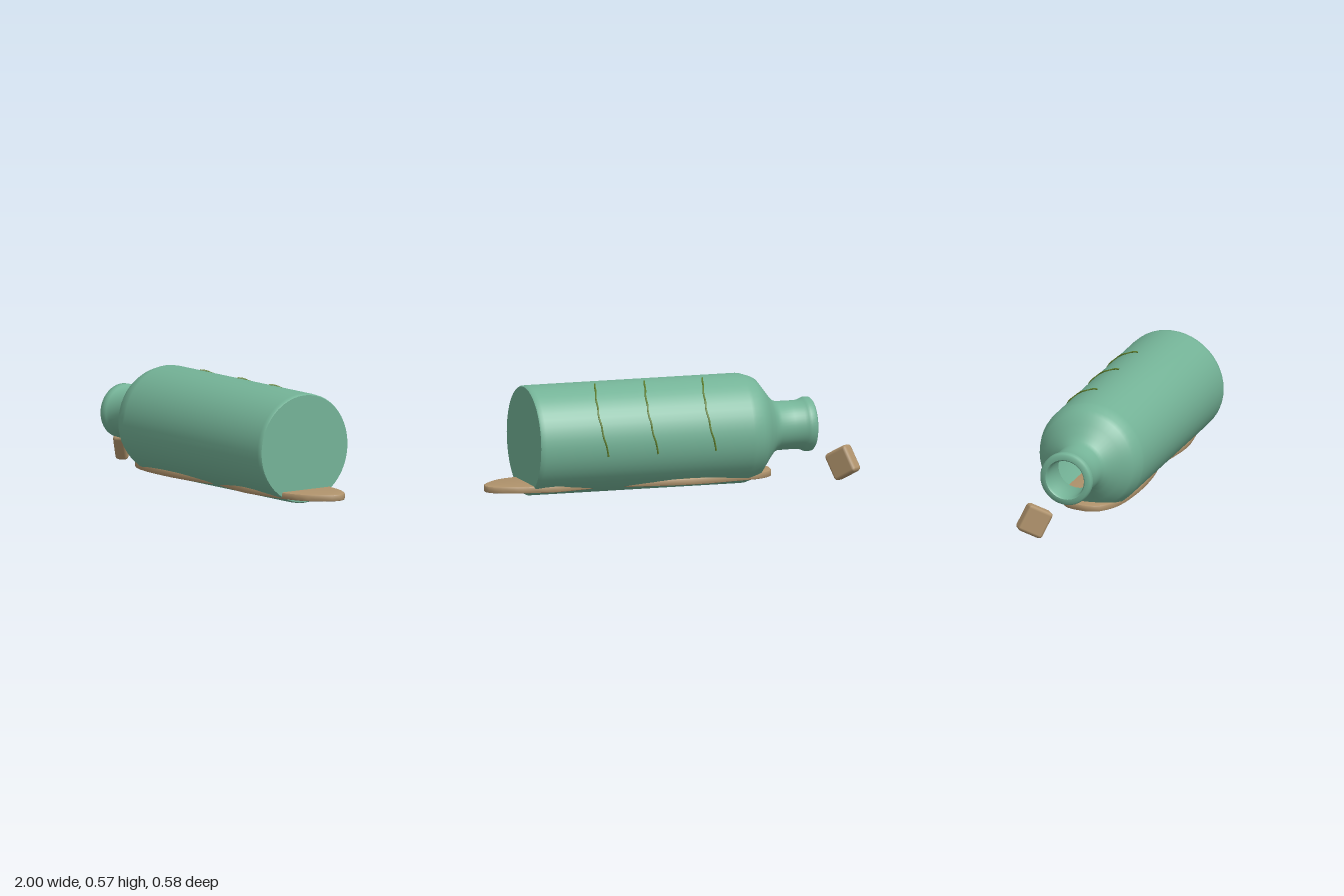
import * as THREE from 'three';
import { toCreasedNormals } from 'three/addons/utils/BufferGeometryUtils.js';
import { RoundedBoxGeometry } from 'three/addons/geometries/RoundedBoxGeometry.js';

const glass = new THREE.MeshStandardMaterial({ name: 'green glass', color: 0x74b397 });
const sand = new THREE.MeshStandardMaterial({ name: 'sand tan', color: 0xb0936c });
const weed = new THREE.MeshStandardMaterial({ name: 'weed green', color: 0x5f7f2c });

const AXIS_Y = 0.288;
const RADIUS = 0.285;

function part(name, geometry, material) {
  const mesh = new THREE.Mesh(geometry, material);
  mesh.name = name;
  return mesh;
}

// Hollow bottle lying along x, mouth towards -x; profile is [radius, x]
function bottle() {
  const profile = [
    [0, 0.75], [0.268, 0.75], [0.268, -0.4], [0.24, -0.47], [0.15, -0.56],
    [0.105, -0.61], [0.1, -0.78], [0.108, -0.79],
    [0.132, -0.79], [0.14, -0.782], [0.141, -0.755], [0.136, -0.742], [0.128, -0.725],
    [0.126, -0.67], [0.127, -0.6], [0.138, -0.575], [0.165, -0.55], [0.21, -0.515],
    [0.255, -0.48], [0.268, -0.455], [0.283, -0.41], [RADIUS, -0.39],
    [RADIUS, 0.74], [0.284, 0.76], [0.279, 0.768], [0.27, 0.768], [0, 0.768],
  ].map(([r, x]) => new THREE.Vector2(r, x));
  const geometry = toCreasedNormals(new THREE.LatheGeometry(profile, 48), 0.8);
  geometry.rotateZ(-Math.PI / 2);
  geometry.translate(0, AXIS_Y, 0);
  return part('bottle', geometry, glass);
}

// Wavy flat bed of sand; outline is [x, z]
function sandBed() {
  const outline = [
    [-0.57, 0.02], [-0.54, 0.1], [-0.42, 0.165], [-0.2, 0.187], [0, 0.18], [0.14, 0.16],
    [0.21, 0.14], [0.29, 0.16], [0.5, 0.185], [0.7, 0.16], [0.83, 0.128], [0.91, 0.085],
    [0.99, -0.01], [0.99, -0.09], [0.89, -0.147], [0.79, -0.166], [0.66, -0.185],
    [0.53, -0.163], [0.35, -0.135], [0.18, -0.163], [-0.08, -0.194], [-0.35, -0.163],
    [-0.47, -0.14], [-0.55, -0.08],
  ].map(([x, z]) => new THREE.Vector2(x, -z));
  const inset = 0.008;
  const curve = new THREE.SplineCurve([...outline, outline[0]]);
  const shape = new THREE.Shape(curve.getPoints(72).slice(0, -1).reverse());
  const geometry = new THREE.ExtrudeGeometry(shape, {
    depth: 0.035 - 2 * inset, bevelEnabled: true, bevelThickness: inset,
    bevelSize: inset, bevelOffset: -inset, bevelSegments: 2,
  });
  geometry.rotateX(-Math.PI / 2);
  geometry.translate(0, 0.039 + inset, 0);
  return part('sandBed', toCreasedNormals(geometry, 0.7), sand);
}

// Thin strand curving over the back of the bottle
function strand(x0) {
  const points = [];
  for (let i = 0; i <= 14; i++) {
    const t = i / 14;
    const angle = THREE.MathUtils.degToRad(80 - 92 * t);
    const r = RADIUS + 0.001 + 0.0015 * Math.sin(i * 2.3);
    points.push(new THREE.Vector3(
      x0 + 0.042 * Math.sin(Math.PI * t) + 0.002 * Math.sin(i * 1.9),
      AXIS_Y + r * Math.sin(angle), -r * Math.cos(angle)));
  }
  const path = new THREE.CatmullRomCurve3(points);
  return part('weedStrand', new THREE.TubeGeometry(path, 42, 0.005, 6), weed);
}

// Loose stopper block, tilted beside the mouth
function stopper() {
  const mesh = part('stopper', new RoundedBoxGeometry(0.145, 0.15, 0.07, 1, 0.018), sand);
  const u = new THREE.Vector3(0.55, -0.48, 0.69).normalize();
  const w = u.clone().cross(new THREE.Vector3(0.3, 0.87, 0.365)).normalize();
  const v = w.clone().cross(u);
  mesh.quaternion.setFromRotationMatrix(new THREE.Matrix4().makeBasis(u, v, w));
  mesh.position.set(-0.927, 0.097, -0.117);
  return mesh;
}

export function createModel() {
  const model = new THREE.Group();
  model.name = 'beachedBottle';
  model.add(bottle(), sandBed(), stopper());
  for (const x of [-0.185, 0.13, 0.4]) model.add(strand(x));
  return model;
}
